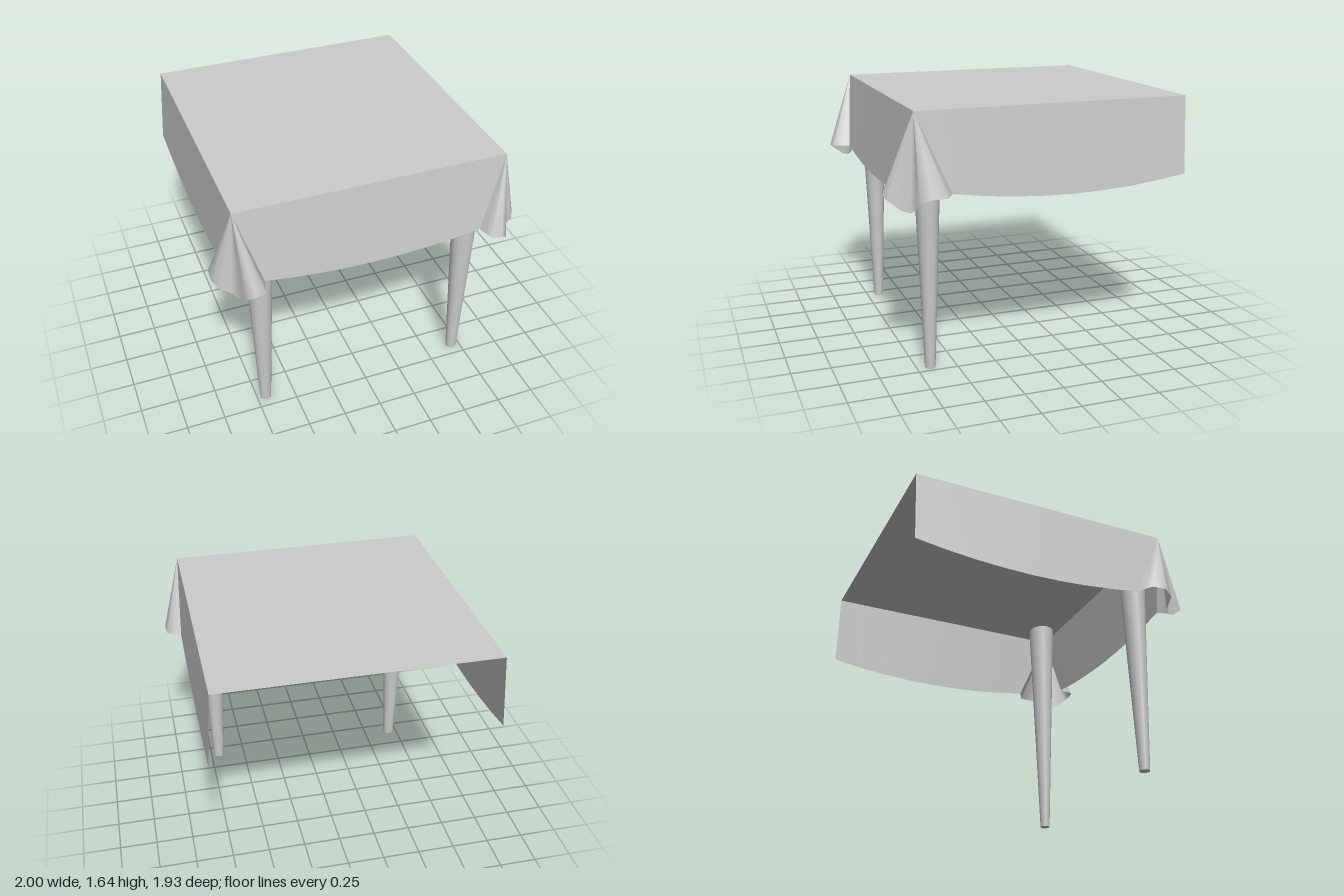
import * as THREE from 'three';

const W = 0.865, TOP = 1.645, HEM = 1.155, BACK = -0.965, FRONT = 0.785;

// Cloth surface hung between a top row and a hem row of points
function drape(name, tops, hems, flip, material) {
  const n = tops.length, index = [];
  const tri = (a, b, c) => index.push(...(flip ? [a, c, b] : [a, b, c]));
  for (let i = 0; i < n - 1; i++) {
    tri(i, n + i + 1, n + i);
    if (tops[i].distanceTo(tops[i + 1]) > 1e-6) tri(i, i + 1, n + i + 1);
  }
  const geometry = new THREE.BufferGeometry().setFromPoints([...tops, ...hems]);
  geometry.setIndex(index);
  geometry.computeVertexNormals();
  const mesh = new THREE.Mesh(geometry, material);
  mesh.name = name;
  return mesh;
}

export function createModel() {
  const group = new THREE.Group();
  group.name = 'drapedTable';
  const cloth = new THREE.MeshStandardMaterial({ color: 0xcccccc, side: THREE.DoubleSide });
  const wood = new THREE.MeshStandardMaterial({ color: 0xcccccc });
  const V = (x, y, z) => new THREE.Vector3(x, y, z);
  const SEG = 8;

  // Flat cloth top
  const top = new THREE.Mesh(new THREE.PlaneGeometry(2 * W, FRONT - BACK).rotateX(-Math.PI / 2), cloth);
  top.position.set(0, TOP, (FRONT + BACK) / 2);
  top.name = 'clothTop';
  group.add(top);

  // Front panel with a sagging hem
  const frontTops = [], frontHems = [];
  for (let i = 0; i <= SEG; i++) {
    const u = 1 - (2 * i) / SEG;
    frontTops.push(V(u * W, TOP, FRONT));
    frontHems.push(V(u * 0.705, HEM - 0.055 * (1 - u * u), 0.84));
  }
  group.add(drape('frontPanel', frontTops, frontHems, false, cloth));

  // Hem of the gathered corner, from the side panel round to the front panel
  const cornerHem = [
    [0.9, 1.155, 0.57], [0.945, 1.155, 0.595], [0.992, 1.155, 0.625], [1, 1.155, 0.72],
    [0.965, 1.13, 0.783], [0.895, 1.075, 0.788], [0.87, 1.055, 0.815], [0.853, 1.07, 0.865],
    [0.841, 1.13, 0.938], [0.795, 1.155, 0.962], [0.733, 1.155, 0.948], [0.718, 1.155, 0.89],
    [0.705, 1.155, 0.84],
  ];

  for (const s of [1, -1]) {
    const side = s > 0 ? 'left' : 'right';

    // Side panel
    const tops = [], hems = [];
    for (let i = 0; i <= SEG; i++) {
      const t = i / SEG, u = 2 * t - 1;
      tops.push(V(s * W, TOP, THREE.MathUtils.lerp(BACK, FRONT, t)));
      hems.push(V(s * 0.9, HEM - 0.065 * (1 - u * u), THREE.MathUtils.lerp(BACK, 0.57, t)));
    }
    group.add(drape(side + 'Panel', tops, hems, s < 0, cloth));

    // Corner folds fanning out from the table corner
    const apex = cornerHem.map(() => V(s * W, TOP, FRONT));
    const folds = cornerHem.map(([x, y, z]) => V(s * x, y, z));
    group.add(drape(side + 'CornerFolds', apex, folds, s < 0, cloth));

    // Tapered leg, slightly oval
    const leg = new THREE.Mesh(new THREE.CylinderGeometry(0.106, 0.037, TOP - 0.005, 16), wood);
    leg.scale.z = 0.89;
    leg.position.set(s * 0.692, (TOP - 0.005) / 2, 0.664);
    leg.name = side + 'FrontLeg';
    group.add(leg);
  }
  return group;
}
